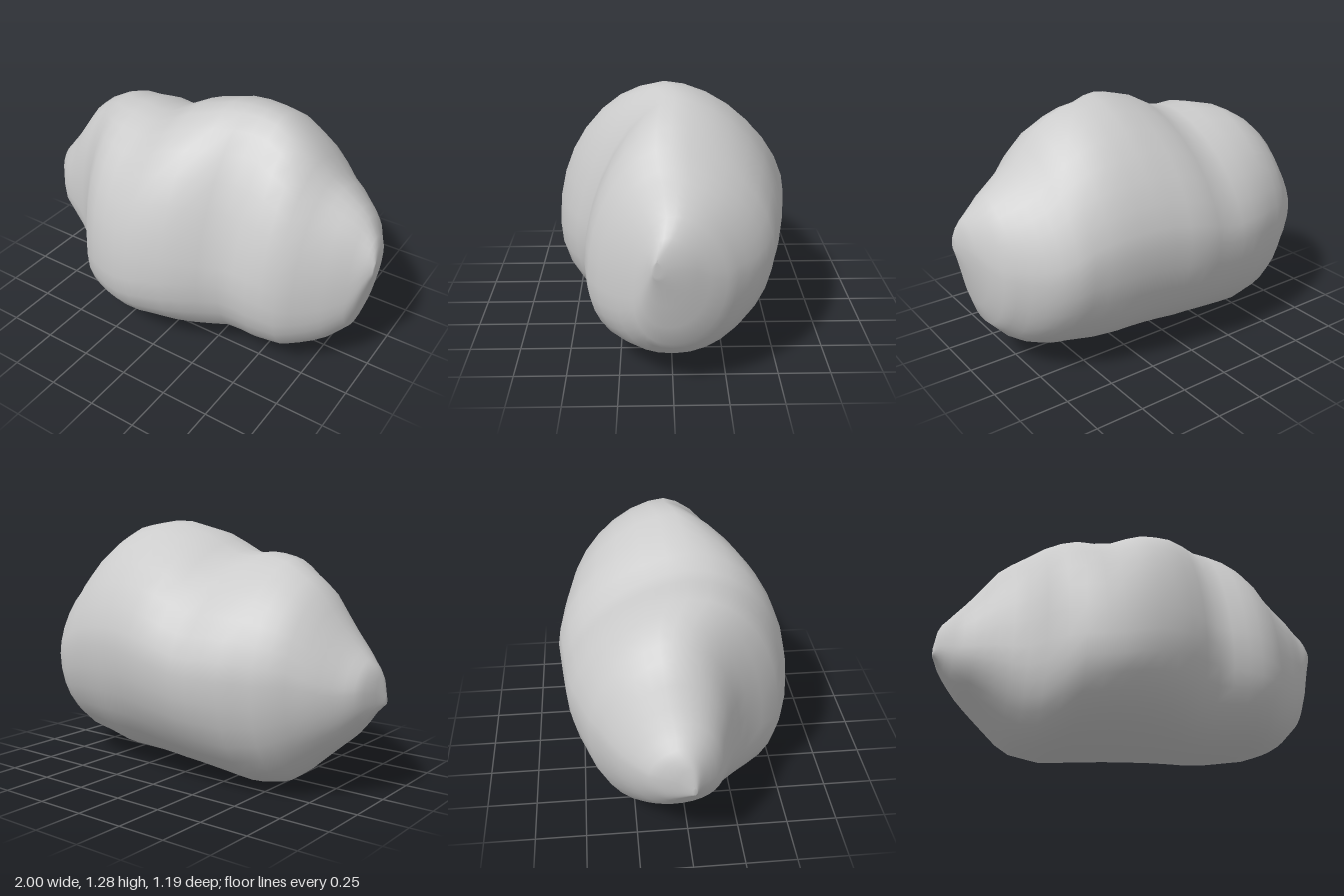
import * as THREE from 'three';
import { mergeVertices } from 'three/addons/utils/BufferGeometryUtils.js';

// Outlines along x: ridge and underside as [x, y], front and back as [x, z]
const ridge = [[-1, 0.5], [-0.98, 0.63], [-0.85, 0.78], [-0.69, 1.01], [-0.52, 1.11], [-0.33, 1.14],
  [-0.21, 1.12], [0, 1.23], [0.21, 1.29], [0.45, 1.25], [0.6, 1.15], [0.69, 1.03], [0.89, 0.89], [0.98, 0.78], [1, 0.7]];
const underside = [[-1, 0.46], [-0.88, 0.3], [-0.6, 0.05], [-0.42, 0], [0, 0.03], [0.45, 0.05],
  [0.65, 0.08], [0.8, 0.14], [0.92, 0.27], [1, 0.63]];
const front = [[-1, 0.01], [-0.88, 0.14], [-0.67, 0.24], [-0.56, 0.32], [-0.42, 0.49], [-0.3, 0.55],
  [-0.12, 0.59], [0.05, 0.57], [0.2, 0.51], [0.36, 0.41], [0.52, 0.42], [0.65, 0.39], [0.87, 0.21], [1, 0.09]];
const back = [[-1, -0.01], [-0.96, -0.18], [-0.8, -0.35], [-0.63, -0.47], [-0.38, -0.56], [0, -0.6],
  [0.45, -0.53], [0.65, -0.47], [0.77, -0.39], [0.9, -0.25], [0.98, -0.07], [1, 0.05]];

const SECTIONS = 36;
const QUARTER = 8;
const RING = QUARTER * 4;

// Value of an outline at x
function at(outline, x) {
  const i = Math.max(1, outline.findIndex(([px]) => px >= x));
  const [x0, v0] = outline[i - 1];
  const [x1, v1] = outline[i];
  return v0 + (v1 - v0) * (x - x0) / (x1 - x0);
}

// Quarter superellipse from p towards q, each [z, y], around the given centre
function addQuarter(positions, x, p, q, centre, exponent) {
  for (let k = 0; k < QUARTER; k++) {
    const angle = (k / QUARTER) * Math.PI / 2;
    const c = Math.cos(angle) ** (2 / exponent);
    const s = Math.sin(angle) ** (2 / exponent);
    const [z, y] = [0, 1].map((n) => centre[n] + (p[n] - centre[n]) * c + (q[n] - centre[n]) * s);
    positions.push(x, y, z);
  }
}

// One closed ring: over the front, under the bottom and up the back
function addSection(positions, x) {
  const [high, low, fore, rear] = [ridge, underside, front, back].map((outline) => at(outline, x));
  const middle = (fore + rear) / 2;
  const depth = fore - rear;
  const top = [middle + 0.05 * depth, high];
  const bottom = [middle + 0.08 * x * depth, low];
  const nose = [fore, low + 0.37 * (high - low)];
  const tail = [rear, low + 0.51 * (high - low)];
  // The brow falls away more flatly below the highest peak
  const brow = 2.1 - 0.5 * Math.exp(-(((x - 0.35) / 0.3) ** 2));
  addQuarter(positions, x, top, nose, [top[0], nose[1]], brow);
  addQuarter(positions, x, nose, bottom, [bottom[0], nose[1]], 2.3);
  addQuarter(positions, x, bottom, tail, [bottom[0], tail[1]], 2);
  addQuarter(positions, x, tail, top, [top[0], tail[1]], 1.75);
}

function boulderGeometry() {
  const positions = [];
  const index = [];
  // Sections gather towards the two tips
  for (let i = 0; i <= SECTIONS; i++) addSection(positions, -Math.cos(Math.PI * i / SECTIONS));

  // Skin between neighbouring rings
  for (let i = 0; i < SECTIONS; i++) {
    for (let j = 0; j < RING; j++) {
      const a = i * RING + j;
      const b = i * RING + (j + 1) % RING;
      index.push(a, b, a + RING, b, b + RING, a + RING);
    }
  }
  // Caps over the small rings at the tips
  const last = SECTIONS * RING;
  for (let j = 1; j < RING - 1; j++) {
    index.push(0, j + 1, j, last, last + j, last + j + 1);
  }

  const geometry = new THREE.BufferGeometry();
  geometry.setAttribute('position', new THREE.Float32BufferAttribute(positions, 3));
  geometry.setIndex(index);
  const merged = mergeVertices(geometry, 1e-4);
  merged.computeVertexNormals();
  return merged;
}

export function createModel() {
  const group = new THREE.Group();
  group.name = 'rock';
  const boulder = new THREE.Mesh(boulderGeometry(), new THREE.MeshStandardMaterial({ color: 0xcccccc }));
  boulder.name = 'boulder';
  group.add(boulder);
  return group;
}
